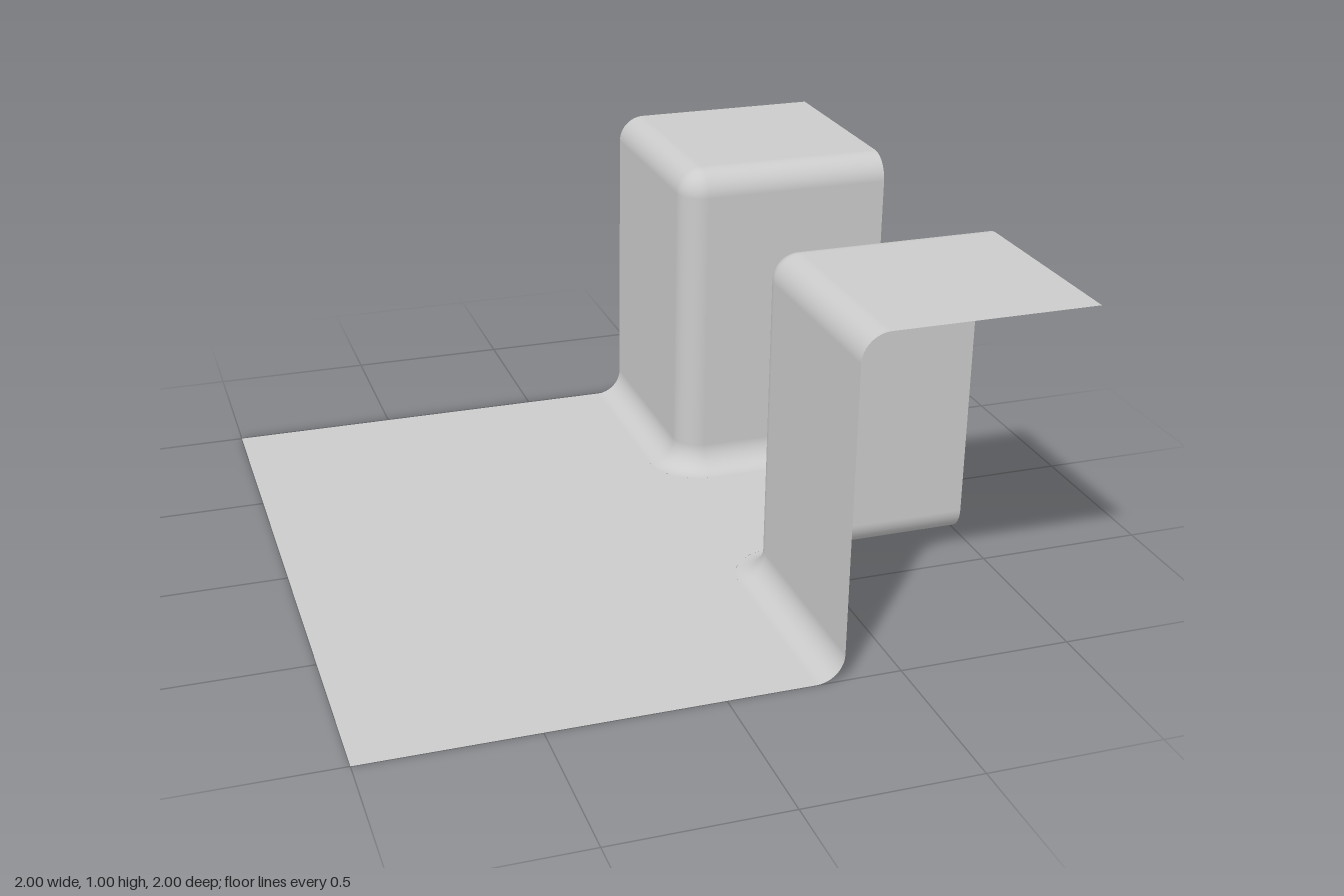
import * as THREE from 'three';

const WALL = 1 / 3;        // wall distance from the centre planes
const R = 0.08;            // radius of every rounded edge
const C = WALL + R;        // centre of the rounded vertical corner
const FOOT = WALL - R;     // where the foot fillet meets the floor
const STEPS = 12;

const material = new THREE.MeshStandardMaterial({ color: 0xcccccc, side: THREE.DoubleSide });

function addMesh(parent, name, geometry) {
  const mesh = new THREE.Mesh(geometry, material);
  mesh.name = name;
  parent.add(mesh);
  return mesh;
}

// Flat floor with two rounded corner cut-outs
function floorGeometry() {
  const s = new THREE.Shape();
  s.moveTo(-1, -1);
  s.lineTo(FOOT, -1);
  s.absarc(C, -C, 2 * R, Math.PI, Math.PI / 2, true);
  s.lineTo(1, -FOOT);
  s.lineTo(1, FOOT);
  s.absarc(C, C, 2 * R, Math.PI * 1.5, Math.PI, true);
  s.lineTo(FOOT, 1);
  s.lineTo(-1, 1);
  s.closePath();
  return new THREE.ShapeGeometry(s, STEPS).rotateX(-Math.PI / 2);
}

// Wall section (foot fillet, straight wall, rounded rim) swept round an L with a rounded corner
function wallGeometry() {
  const profile = [];
  for (let i = 0; i <= STEPS; i++) {
    const a = (i / STEPS) * Math.PI / 2, s = Math.sin(a), c = Math.cos(a);
    profile.push({ r: 2 * R - R * s, y: R - R * c, out: s, up: c });
  }
  for (let i = 0; i <= STEPS; i++) {
    const a = (i / STEPS) * Math.PI / 2, s = Math.sin(a), c = Math.cos(a);
    profile.push({ r: R * c, y: 1 - R + R * s, out: c, up: s });
  }

  const path = [{ x: 1, z: C, a: -Math.PI / 2 }];
  for (let i = 0; i <= STEPS; i++) path.push({ x: C, z: C, a: -Math.PI / 2 * (1 + i / STEPS) });
  path.push({ x: C, z: 1, a: -Math.PI });

  const positions = [], normals = [], index = [], n = profile.length;
  path.forEach((p, i) => {
    const dx = Math.cos(p.a), dz = Math.sin(p.a);
    profile.forEach((q, j) => {
      positions.push(p.x + dx * q.r, q.y, p.z + dz * q.r);
      normals.push(dx * q.out, q.up, dz * q.out);
      if (i < path.length - 1 && j < n - 1) {
        const a = i * n + j, b = a + n;
        index.push(a, b, b + 1, a, b + 1, a + 1);
      }
    });
  });
  const g = new THREE.BufferGeometry();
  g.setAttribute('position', new THREE.Float32BufferAttribute(positions, 3));
  g.setAttribute('normal', new THREE.Float32BufferAttribute(normals, 3));
  g.setIndex(index);
  return g;
}

export function createModel() {
  const model = new THREE.Group();
  model.name = 'cornerTerrainTile';
  addMesh(model, 'floor', floorGeometry());

  const wall = wallGeometry();
  const plateau = new THREE.PlaneGeometry(1 - C, 1 - C).rotateX(-Math.PI / 2)
    .translate((1 + C) / 2, 1, (1 + C) / 2);

  // The raised corner is symmetric, so a quarter turn gives the back one
  ['frontBlock', 'backBlock'].forEach((name, i) => {
    const block = new THREE.Group();
    block.name = name;
    addMesh(block, 'wall', wall);
    addMesh(block, 'plateau', plateau);
    block.rotation.y = i * Math.PI / 2;
    model.add(block);
  });
  return model;
}
